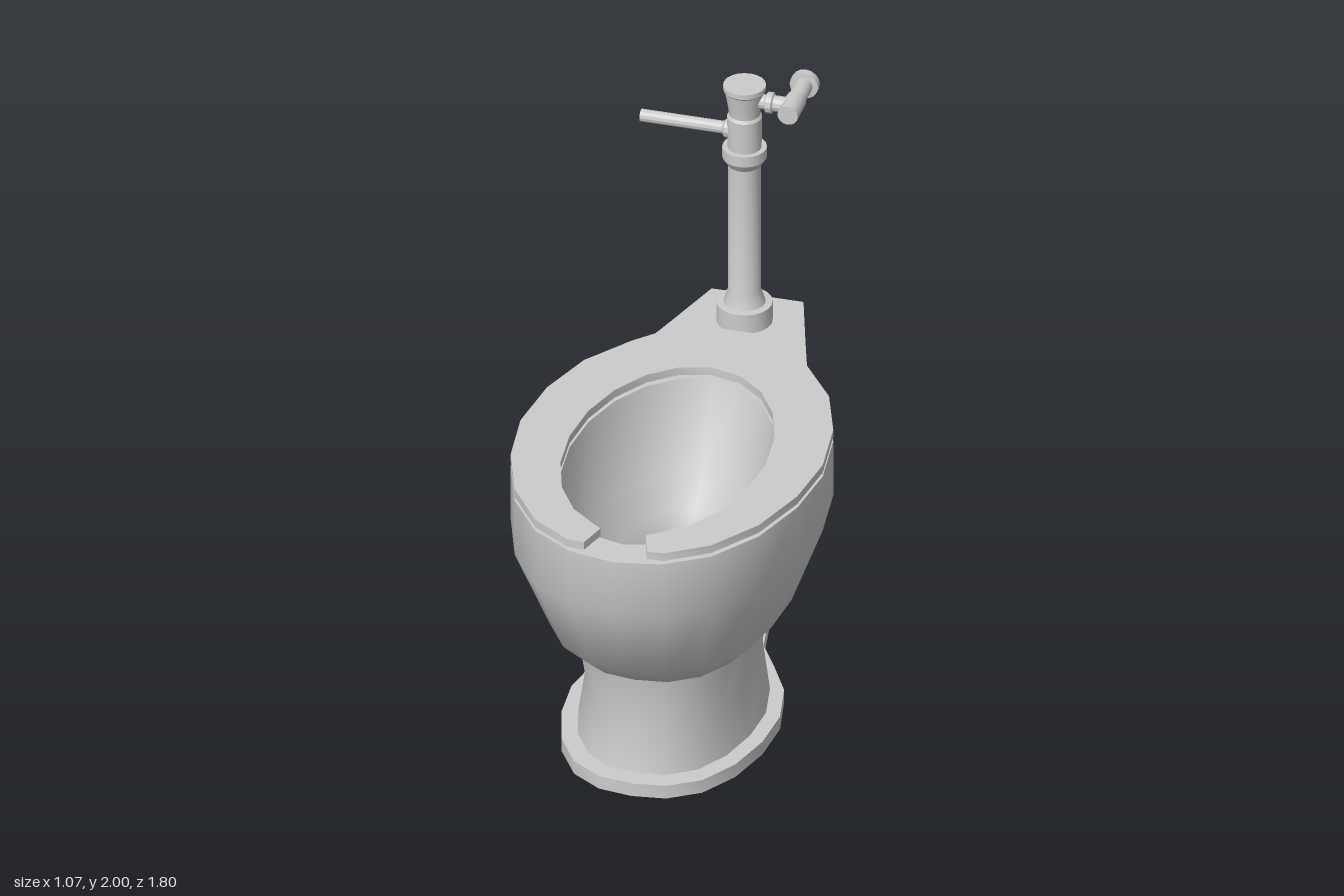
import * as THREE from 'three';
import { toCreasedNormals } from 'three/addons/utils/BufferGeometryUtils.js';

const material = new THREE.MeshStandardMaterial({ color: 0xcccccc });

// Half outlines as [x, z], running from the front centre round to the back
const RIM = [[0, .9], [.16, .87], [.31, .775], [.43, .605], [.505, .39], [.533, .17],
  [.505, -.06], [.432, -.265], [.31, -.43], [.235, -.665], [.162, -.9], [.08, -.9]];
const BELLY = [[0, .74], [.13, .72], [.25, .635], [.34, .495], [.395, .32], [.412, .13],
  [.38, -.06], [.31, -.2], [.22, -.32], [.185, -.54], [.145, -.7], [.06, -.735]];
const FOOT = [[0, .625], [.11, .61], [.21, .545], [.285, .425], [.33, .27], [.342, .11],
  [.31, -.05], [.24, -.18], [.175, -.29], [.145, -.46], [.108, -.62], [.05, -.64]];

const mirror = half => [...half, ...half.slice(1).reverse().map(([x, z]) => [-x, z])];
const scaled = (pts, sx, sz = sx) => pts.map(([x, z]) => [x * sx, z * sz]);

function ellipse(rx, rz, cz, n = 20) {
  return Array.from({ length: n }, (_, i) => {
    const a = i / n * Math.PI * 2;
    return [rx * Math.sin(a), cz + rz * Math.cos(a)];
  });
}

// Skin between closed rings, each given as [y, outline]
function loft(rings, crease) {
  const n = rings[0][1].length, pos = [], idx = [];
  for (const [y, pts] of rings) for (const [x, z] of pts) pos.push(x, y, z);
  for (let i = 0; i < rings.length - 1; i++) {
    for (let j = 0; j < n; j++) {
      const k = (j + 1) % n;
      const a = i * n + j, b = i * n + k, c = b + n, d = a + n;
      idx.push(a, b, c, a, c, d);
    }
  }
  const g = new THREE.BufferGeometry();
  g.setAttribute('position', new THREE.Float32BufferAttribute(pos, 3));
  g.setIndex(idx);
  return toCreasedNormals(g, crease);
}

// Flat plan shape; shape y becomes -z
const planShape = pts => new THREE.Shape(pts.map(([x, z]) => new THREE.Vector2(x, -z)));

function slab(pts, y, height) {
  const g = new THREE.ExtrudeGeometry(planShape(pts), { depth: height, bevelEnabled: false });
  return toCreasedNormals(g.rotateX(-Math.PI / 2).translate(0, y, 0), 0.6);
}

function lathe(points, segments = 20) {
  const g = new THREE.LatheGeometry(points.map(p => new THREE.Vector2(...p)), segments);
  return toCreasedNormals(g, 0.5);
}

export function createModel() {
  const model = new THREE.Group();
  const add = (name, geometry, parent = model) => {
    const mesh = new THREE.Mesh(geometry, material);
    mesh.name = name;
    parent.add(mesh);
    return mesh;
  };

  // Floor plate and waisted pedestal
  const foot = mirror(FOOT), rim = mirror(RIM);
  add('basePlate', slab(scaled(foot, 1.075), 0, .05));
  add('pedestal', loft([
    [.05, scaled(foot, .92, .96)],
    [.24, scaled(foot, .84, .9)],
    [.44, scaled(foot, .92, .96)],
  ], 1.05));

  // Bowl: outer shell, flat rim with opening, and inner basin
  const bowl = new THREE.Group();
  bowl.name = 'bowl';
  model.add(bowl);
  add('bowlShell', loft([
    [.435, scaled(foot, .5)],
    [.435, foot],
    [.53, mirror(BELLY)],
    [.85, rim],
    [1.065, rim],
  ], .85), bowl);
  const opening = ellipse(.345, .557, .222);
  const rimShape = planShape(rim);
  rimShape.holes.push(planShape(opening));
  add('bowlRim', new THREE.ShapeGeometry(rimShape).rotateX(-Math.PI / 2).translate(0, 1.065, 0), bowl);
  add('basin', loft([
    [1.065, opening],
    [.77, ellipse(.275, .455, .23)],
    [.67, ellipse(.19, .32, .19)],
    [.57, ellipse(.12, .19, .12)],
    [.5, ellipse(.085, .14, .08)],
    [.475, ellipse(.001, .001, .07)],
  ], 1.1), bowl);

  // Open-front seat: outer edge round the back, then the inner edge back again
  const outerHalf = [[.11, .872], [.17, .868], ...RIM.slice(2, 9), [.16, -.588]];
  const innerHalf = [[.08, .77], ...opening.slice(1, 10)];
  const flip = pts => pts.map(([x, z]) => [-x, z]);
  add('seat', slab([
    ...outerHalf, ...flip(outerHalf).reverse(),
    ...flip(innerHalf), opening[10], ...[...innerHalf].reverse(),
  ], 1.08, .03));

  // Flush valve on its riser pipe
  const valve = new THREE.Group();
  valve.name = 'flushValve';
  valve.position.z = -.738;
  model.add(valve);
  add('riserPipe', lathe([[.096, 1.06], [.096, 1.138], [.072, 1.14], [.056, 1.19], [.056, 1.685],
    [.076, 1.715], [.076, 1.755], [0, 1.755]]), valve);
  add('valveBody', lathe([[.058, 1.75], [.06, 1.875], [.053, 1.885], [.056, 1.91], [.067, 1.975],
    [.073, 1.982], [.073, 2], [0, 2]]), valve);

  // Handle lever on the right
  const lever = add('handleLever', lathe([[.034, .04], [.034, .065], [.022, .075], [.022, .365], [0, .365]], 12), valve);
  lever.rotation.z = Math.PI / 2;
  lever.position.y = 1.817;

  // Side stop: short connector and a knobbed cylinder pointing back
  const connector = add('stopConnector', lathe([[.026, .05], [.026, .075], [.037, .08], [.037, .1],
    [.028, .105], [.028, .15]], 12), valve);
  connector.rotation.z = -Math.PI / 2;
  connector.position.y = 1.942;
  const stop = add('stopValve', lathe([[0, -.065], [.036, -.065], [.036, .04], [.031, .045], [.031, .135],
    [.05, .137], [.05, .162], [0, .162]], 16), valve);
  stop.rotation.x = -Math.PI / 2;
  stop.position.set(.17, 1.942, 0);

  return model;
}
